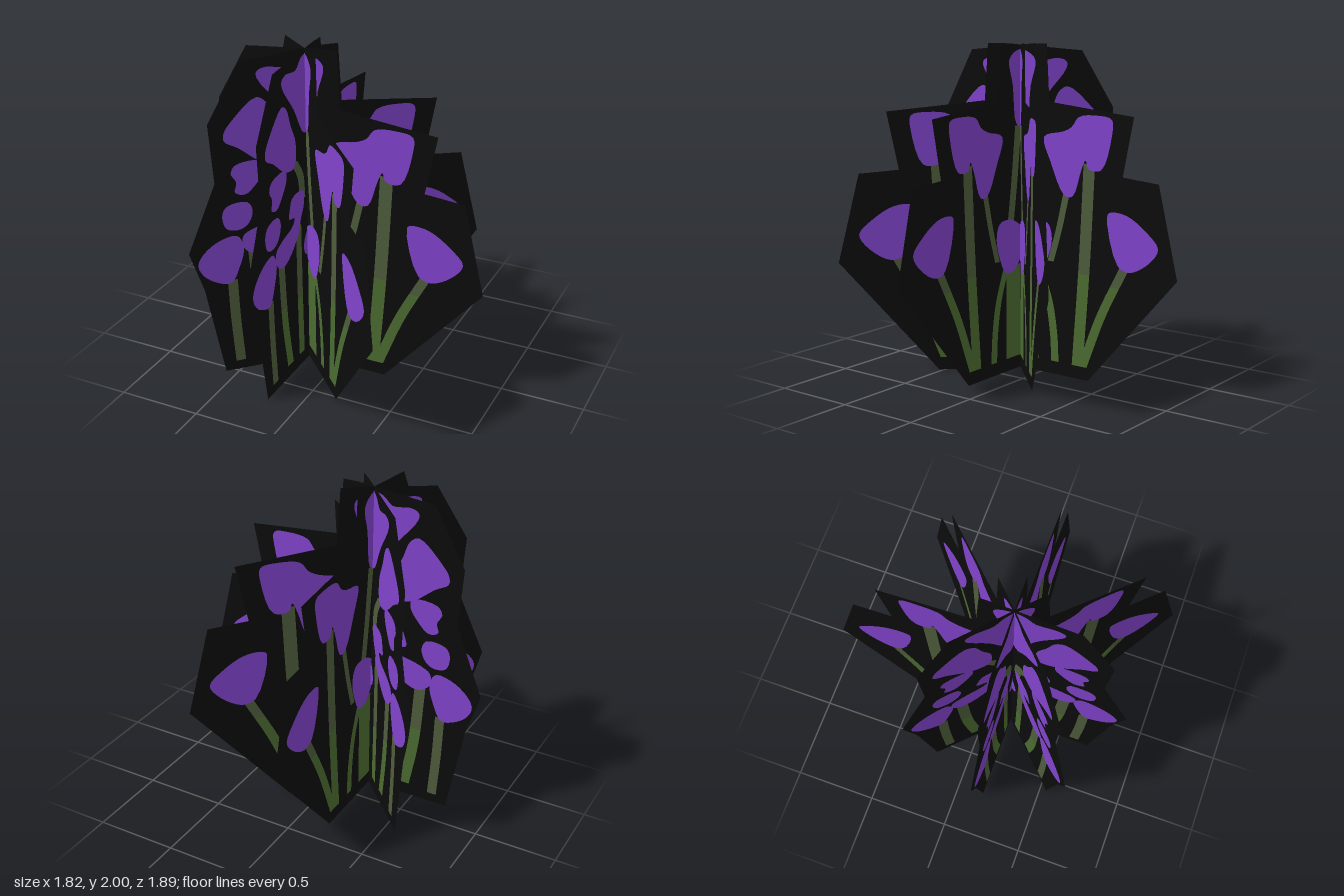
import * as THREE from 'three';

const mat = (name, color, side = THREE.FrontSide) => {
  const m = new THREE.MeshStandardMaterial({ color, side });
  m.name = name;
  return m;
};

const V = ([x, y]) => new THREE.Vector2(x, y);
const V3 = ([x, y]) => new THREE.Vector3(x, y, 0);

// Soft closed outline through a few points
function petalShape(points) {
  const curve = new THREE.CatmullRomCurve3(points.map(V3), true, 'centripetal');
  return new THREE.Shape(curve.getPoints(points.length * 4).slice(0, -1).map(p => V([p.x, p.y])));
}

// Flat ribbon following a centre line, widened sideways
function ribbonShape(line, width) {
  const left = line.map(p => V([p.x - width / 2, p.y]));
  const right = line.map(p => V([p.x + width / 2, p.y])).reverse();
  return new THREE.Shape([...left, ...right]);
}

// Card silhouette, measured from the shared vertical axis
const OUTLINE = [
  [-0.53, 0], [0.505, 0], [1.105, 0.69], [0.975, 1.23], [0.735, 1.25], [0.805, 1.6],
  [0.215, 1.66], [0.195, 2], [0.1, 2], [-0.375, 1.955], [-0.57, 1.61], [-0.545, 1.25],
  [-0.715, 0.83], [-0.635, 0.58],
];

const FLOWERS = {
  topFlower: [[-0.28, 1.89], [-0.23, 1.91], [-0.12, 1.9], [-0.06, 1.95], [0, 1.965], [0.07, 1.945],
    [0.115, 1.9], [0.08, 1.75], [0.045, 1.52], [-0.03, 1.5], [-0.15, 1.68], [-0.28, 1.85]],
  largeFlower: [[0.18, 1.45], [0.32, 1.49], [0.38, 1.52], [0.43, 1.58], [0.56, 1.595], [0.66, 1.575],
    [0.66, 1.48], [0.59, 1.28], [0.5, 1.28], [0.48, 1.33], [0.45, 1.27], [0.39, 1.11], [0.33, 1.11], [0.23, 1.3]],
  rightFlower: [[0.635, 1.02], [0.66, 1.04], [0.77, 1.03], [0.9, 0.95], [0.98, 0.86], [0.92, 0.77],
    [0.79, 0.7], [0.71, 0.73]],
  lowFlower: [[-0.05, 0.82], [0.01, 0.9], [0.11, 0.945], [0.21, 0.93], [0.24, 0.84], [0.21, 0.72],
    [0.15, 0.62], [0.06, 0.63], [0, 0.7], [-0.05, 0.75]],
  upperLeftFlower: [[-0.48, 1.55], [-0.43, 1.62], [-0.29, 1.74], [-0.235, 1.71], [-0.19, 1.6],
    [-0.135, 1.48], [-0.15, 1.34], [-0.25, 1.34], [-0.4, 1.45], [-0.48, 1.5]],
  leftBud: [[-0.45, 1.3], [-0.42, 1.35], [-0.26, 1.355], [-0.25, 1.3], [-0.3, 1.22], [-0.37, 1.16],
    [-0.43, 1.18], [-0.42, 1.24]],
  lowerLeftBud: [[-0.51, 1.05], [-0.48, 1.1], [-0.36, 1.11], [-0.33, 1.05], [-0.36, 0.97],
    [-0.42, 0.94], [-0.49, 0.96]],
  bentFlower: [[-0.22, 1.1], [-0.19, 1.155], [-0.05, 1.15], [-0.05, 1.06], [-0.09, 0.98], [-0.12, 0.9],
    [-0.24, 0.79], [-0.32, 0.77], [-0.39, 0.82], [-0.39, 0.9], [-0.32, 0.94], [-0.19, 0.98],
    [-0.165, 1.02], [-0.23, 1.04]],
  leftFlower: [[-0.665, 0.74], [-0.645, 0.8], [-0.55, 0.88], [-0.43, 0.905], [-0.39, 0.83],
    [-0.42, 0.7], [-0.475, 0.6], [-0.56, 0.62], [-0.63, 0.67]],
};

// Stems run top to bottom; above the split height they turn greyer
const STEMS = [
  { line: [[0.075, 0.66], [0.075, 0.35], [0.075, 0.08]], width: 0.14, split: 0.66 },
  { line: [[0.15, 0.64], [0.22, 0.45], [0.255, 0.25], [0.265, 0.08]], width: 0.055, split: 0.66 },
  { line: [[0.505, 1.31], [0.475, 0.7], [0.43, 0.08]], width: 0.08, split: 0.65 },
  { line: [[0.755, 0.72], [0.6, 0.42], [0.465, 0.08]], width: 0.065, split: 0.6 },
  { line: [[0.345, 1.13], [0.29, 0.9], [0.23, 0.7]], width: 0.045, split: 0.5 },
  { line: [[0.025, 1.51], [0.06, 1.2], [0.1, 0.92]], width: 0.06, split: 0.5 },
  { line: [[-0.465, 0.62], [-0.455, 0.35], [-0.435, 0.06]], width: 0.06, split: 0 },
  { line: [[-0.33, 0.79], [-0.3, 0.4], [-0.245, 0.08]], width: 0.07, split: 0.5 },
  { line: [[-0.115, 0.95], [-0.11, 0.5], [-0.1, 0.08]], width: 0.065, split: 0.5 },
  { line: [[-0.15, 1.36], [-0.08, 1.25], [-0.06, 1.1]], width: 0.07, split: 0.5 },
];

export function createModel() {
  const black = mat('cardBlack', 0x0c0c0c, THREE.DoubleSide);
  const purple = mat('petalPurple', 0x8043cb);
  const green = mat('stemGreen', 0x4b6a31);
  const greyGreen = mat('upperStemGreen', 0x4e5c3b);

  // Every painted detail: shape, material and height above the card
  const details = [];
  STEMS.forEach(({ line, width, split }) => {
    const pts = new THREE.CatmullRomCurve3(line.map(V3)).getPoints(24);
    let cut = pts.findIndex(p => p.y < split);
    if (cut < 0) cut = pts.length - 1;
    const add = (name, part, material) => {
      if (part.length > 1) {
        details.push({ name, geometry: new THREE.ShapeGeometry(ribbonShape(part, width)), material, lift: 0.002 });
      }
    };
    add('upperStem', pts.slice(0, cut + 1), greyGreen);
    add('stem', pts.slice(cut), green);
  });
  for (const [name, points] of Object.entries(FLOWERS)) {
    details.push({ name, geometry: new THREE.ShapeGeometry(petalShape(points)), material: purple, lift: 0.004 });
  }
  // Mirrored winding for the back of each card
  for (const d of details) {
    d.back = d.geometry.clone();
    d.back.setIndex(Array.from(d.geometry.index.array).reverse());
    const n = d.back.attributes.normal;
    for (let i = 0; i < n.count; i++) n.setXYZ(i, 0, 0, -1);
  }

  const cardGeometry = new THREE.ShapeGeometry(new THREE.Shape(OUTLINE.map(V)));
  const model = new THREE.Group();
  model.name = 'flowerClump';

  // Four identical cards crossed about one vertical axis
  for (let k = -1; k <= 2; k++) {
    const card = new THREE.Group();
    card.name = 'flowerCard';
    const backing = new THREE.Mesh(cardGeometry, black);
    backing.name = 'cardBacking';
    card.add(backing);
    for (const { name, geometry, back, material, lift } of details) {
      for (const side of [1, -1]) {
        const mesh = new THREE.Mesh(side > 0 ? geometry : back, material);
        mesh.name = name;
        mesh.position.z = side * lift;
        card.add(mesh);
      }
    }
    card.rotation.y = k * Math.PI / 4;
    card.position.set(-0.195, 0, 0.165);
    model.add(card);
  }
  return model;
}
